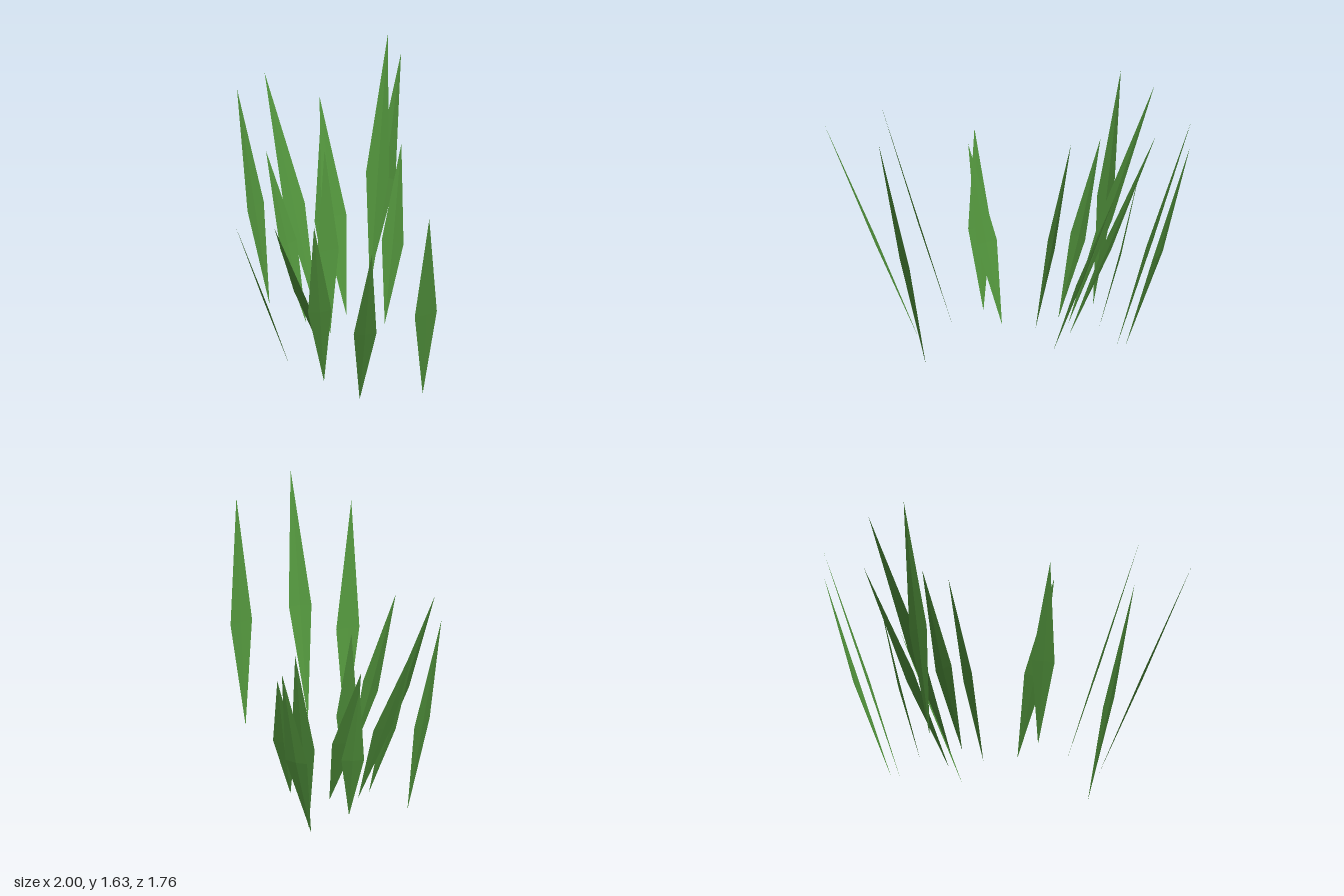
import * as THREE from 'three';

// Each blade: base [x, z], tip [x, y, z], two widest edge points [x, z]
const BLADES = [
  // back cluster
  [[-0.39, -0.41], [-0.67, 1.63, -0.82], [-0.45, -0.63], [-0.58, -0.55]],
  [[-0.44, -0.44], [-0.61, 1.49, -0.88], [-0.455, -0.69], [-0.59, -0.63]],
  [[-0.03, -0.21], [-0.25, 1.12, -0.555], [-0.06, -0.4], [-0.19, -0.33]],
  // side cluster
  [[-0.26, -0.09], [-0.78, 1.32, -0.33], [-0.46, -0.27], [-0.54, -0.125]],
  [[-0.475, -0.13], [-0.71, 1.12, -0.27], [-0.535, -0.26], [-0.635, -0.155]],
  [[-0.375, 0.055], [-1.0, 1.52, -0.055], [-0.635, -0.07], [-0.67, 0.075]],
  [[-0.375, 0.155], [-0.74, 1.15, 0.17], [-0.54, 0.085], [-0.54, 0.23]],
  [[-0.69, 0.185], [-0.955, 1.545, 0.225], [-0.81, 0.125], [-0.8, 0.275]],
  [[-0.17, 0.135], [-0.36, 1.27, 0.01], [-0.225, 0.01], [-0.28, 0.145]],
  // opposite side
  [[0.73, 0.155], [0.98, 1.545, 0.325], [0.82, 0.305], [0.865, 0.155]],
  [[0.505, 0.495], [1.0, 1.51, 0.84], [0.685, 0.71], [0.775, 0.595]],
  [[0.2, 0.525], [0.495, 1.49, 0.88], [0.295, 0.75], [0.375, 0.62]],
  // front cluster
  [[-0.04, 0.315], [-0.08, 1.12, 0.7], [-0.135, 0.48], [0.015, 0.5]],
  [[-0.09, 0.56], [-0.27, 1.12, 0.865], [-0.24, 0.66], [-0.105, 0.73]],
];
const BELLY = 0.455; // height fraction of the widest point
const FOLD = 0.008;  // depth of the central crease

// Leaning diamond leaf with a shallow crease along its spine
function bladeGeometry([b, t, l, r]) {
  const base = new THREE.Vector3(b[0], 0, b[1]);
  const tip = new THREE.Vector3(...t);
  const left = new THREE.Vector3(l[0], t[1] * BELLY, l[1]);
  const right = new THREE.Vector3(r[0], t[1] * BELLY, r[1]);
  const inward = tip.clone().sub(base).cross(right.clone().sub(left)).normalize();
  if (inward.y < 0) inward.negate();
  const spine = left.clone().add(right).multiplyScalar(0.5).addScaledVector(inward, -FOLD);
  const corners = [
    base, spine, left, spine, tip, left,
    base, right, spine, right, tip, spine,
  ];
  const geometry = new THREE.BufferGeometry().setFromPoints(corners);
  geometry.computeVertexNormals();
  return geometry;
}

export function createModel() {
  const model = new THREE.Group();
  model.name = 'grassTuft';
  const green = new THREE.MeshStandardMaterial({ color: 0x4f8f3a, side: THREE.DoubleSide });
  green.name = 'grassGreen';

  BLADES.forEach((blade, i) => {
    const mesh = new THREE.Mesh(bladeGeometry(blade), green);
    mesh.name = `grassBlade${i + 1}`;
    model.add(mesh);
  });
  return model;
}
